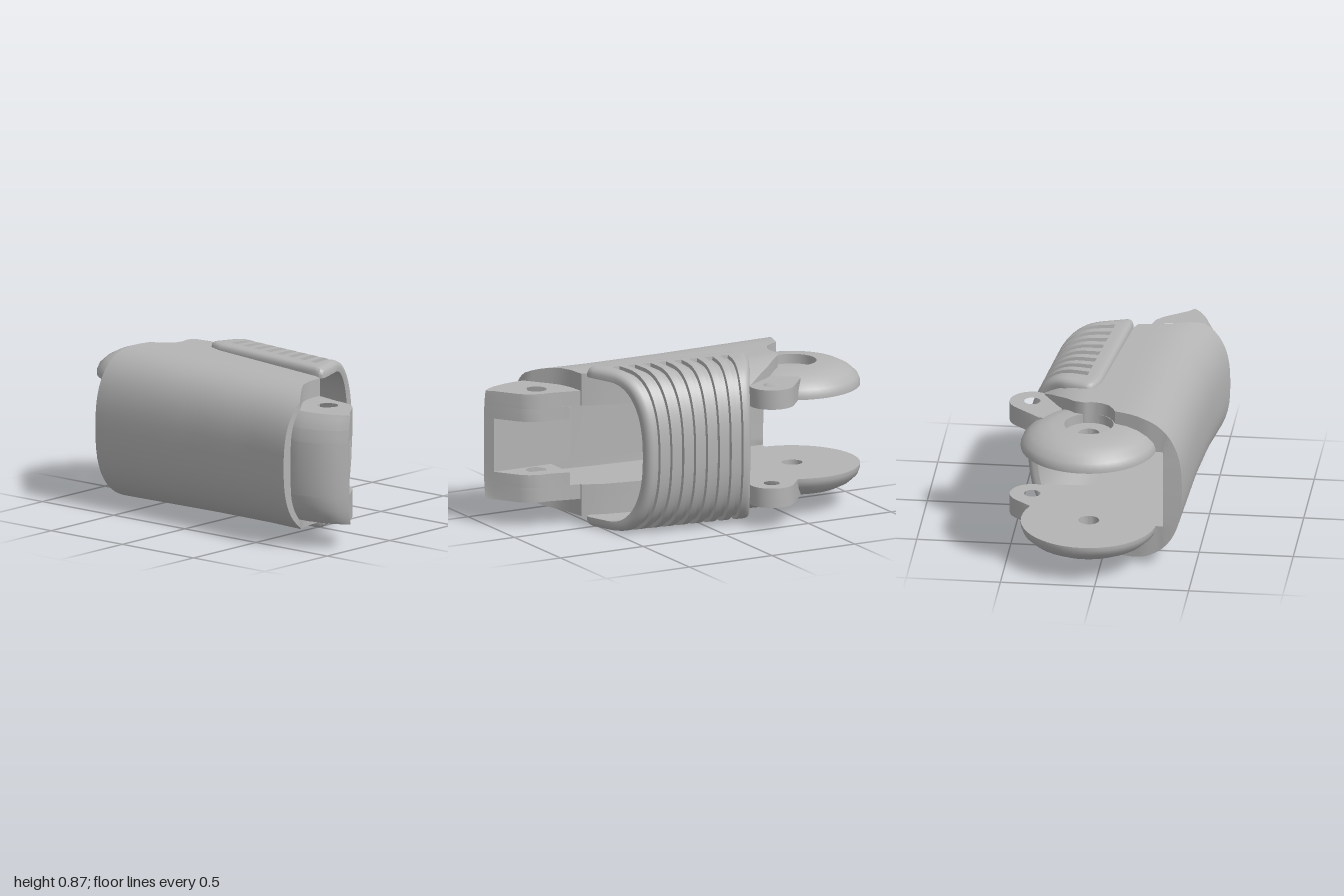
import * as THREE from 'three';
import { toCreasedNormals } from 'three/addons/utils/BufferGeometryUtils.js';

const MID = 0.435; // height of the mirror plane
const lerp = THREE.MathUtils.lerp;

// Linear lookup in a list of [key, value] pairs
function lookup(table, k) {
  for (let i = 1; i < table.length; i++) {
    const [k0, v0] = table[i - 1], [k1, v1] = table[i];
    if (k <= k1) return lerp(v0, v1, THREE.MathUtils.clamp((k - k0) / (k1 - k0), 0, 1));
  }
  return table[table.length - 1][1];
}

// Closed solid from C-shaped loops: first half of a loop is the outside, second half the inside reversed
function loft(rows) {
  const n = rows[0].length, last = rows.length - 1, pos = [], idx = [];
  rows.forEach(r => r.forEach(p => pos.push(...p)));
  const quad = (a, b, c, d) => idx.push(a, b, c, a, c, d);
  for (let j = 0; j < last; j++)
    for (let i = 0; i < n; i++) {
      const k = (i + 1) % n;
      quad(j * n + i, j * n + k, (j + 1) * n + k, (j + 1) * n + i);
    }
  for (let i = 0; i < n / 2 - 1; i++) {
    quad(i + 1, i, n - 1 - i, n - 2 - i);
    const o = last * n;
    quad(o + i, o + i + 1, o + n - 2 - i, o + n - 1 - i);
  }
  // Turn all faces outwards
  let volume = 0;
  const pt = i => new THREE.Vector3().fromArray(pos, i * 3);
  for (let i = 0; i < idx.length; i += 3)
    volume += pt(idx[i]).dot(pt(idx[i + 1]).cross(pt(idx[i + 2])));
  if (volume < 0) idx.reverse();
  const g = new THREE.BufferGeometry();
  g.setAttribute('position', new THREE.Float32BufferAttribute(pos, 3));
  g.setIndex(idx);
  return toCreasedNormals(g, 0.6);
}

// Mirrors a half section (edge to middle) and joins outside and inside to one loop
function cLoop(outer, inner) {
  const flip = half => half.slice(0, -1).reverse().map(([x, y, z]) => [x, 2 * MID - y, z]);
  return [...outer, ...flip(outer), ...[...inner, ...flip(inner)].reverse()];
}

// Slab with a plan outline in x and z, from height y0 to y1
function slab(shape, y0, y1, steps = 1) {
  const g = new THREE.ExtrudeGeometry(shape, { depth: y1 - y0, steps, bevelEnabled: false, curveSegments: 24 });
  return g.rotateX(-Math.PI / 2).translate(0, y0, 0);
}
const plan = pts => new THREE.Shape(pts.map(([x, z]) => new THREE.Vector2(x, -z)));
function drill(shape, x, z, r) {
  shape.holes.push(new THREE.Path().absarc(x, -z, r, 0, Math.PI * 2, true));
  return shape;
}

// Back shell: plan limits and wall position
const backX = [[-0.69, -0.43], [0, -0.455], [0.4, -0.485], [0.72, -0.53]];
const frontEdge = [[0, 0.72], [0.13, 0.72], [0.2, 0.66], [0.27, 0.6], [0.33, 0.575], [0.455, 0.56],
  [0.48, 0.45], [0.53, -0.1], [0.57, -0.2], [0.81, -0.2]];
const rearEdge = [[0, -0.69], [0.2, -0.67], [0.365, -0.62], [0.385, -0.58], [0.41, -0.543], [0.45, -0.519],
  [0.5, -0.51], [0.55, -0.519], [0.6, -0.5], [0.7, -0.385], [0.8, -0.235]];

function shellGeometry() {
  const cols = [0.8, 0.75, 0.7, 0.65, 0.6, 0.57, 0.55, 0.53, 0.5, 0.48, 0.45, 0.41, 0.385, 0.365].map(d => [d, 1]);
  for (let i = 0; i <= 14; i++) {
    const t = Math.PI / 2 * (1 - i / 14), e = 2 / 2.6;
    cols.push([0.35 * (1 - Math.cos(t) ** e), Math.sin(t) ** e]);
  }
  const rows = [];
  for (let j = 0; j <= 16; j++) {
    const outer = [], inner = [];
    for (const [d, f] of cols) {
      const z = lerp(lookup(rearEdge, d), lookup(frontEdge, d), j / 16);
      const x = lookup(backX, z);
      const drop = 0.09 * (Math.max(0, d - 0.55) / 0.26) ** 2;
      const h = (0.4 - 0.02 * z) * f - drop;
      outer.push([x + d, MID + h, z]);
      inner.push([x + Math.max(d, 0.1 + 0.02 * d), MID + Math.min(h, 0.215), z]);
    }
    rows.push(cLoop(outer, inner));
  }
  return loft(rows);
}

// Ribbed grip: C section with rounded rims and eight grooves
function gripGeometry() {
  const cols = [[0, 1], [0.012, 1], [0.035, 1], [0.07, 1], [0.13, 1], [0.195, 1], [0.2, 1], [0.28, 1]];
  for (let i = 0; i <= 18; i++) {
    const t = Math.PI / 2 * (1 - i / 18), e = 2 / 2.4;
    cols.push([0.35 + 0.65 * Math.cos(t) ** e, Math.sin(t) ** e]);
  }
  const rim = [[0, 0.03], [0.012, 0.014], [0.035, 0.004], [0.07, 0]];
  const stations = [[0, 0.03], [0.01, 0.014], [0.03, 0.003], [0.055, 0]].map(([u, pull]) => ({ u, pull, groove: 0, spread: 0 }));
  const ends = stations.map(s => ({ ...s, u: 1 - s.u })).reverse();
  for (let k = 0; k < 8; k++) {
    const a = 0.14 + k * 0.0985;
    for (const [u, groove] of [[a, 0], [a + 0.002, 0.02], [a + 0.048, 0.02], [a + 0.05, 0]])
      stations.push({ u, pull: 0, groove, spread: 0.15 });
  }
  stations.push(...ends);
  const corner = (t, amount) => t >= 1 ? 0 : amount * (1 - Math.sqrt(1 - (1 - t) ** 2));
  const rows = stations.map(({ u, pull, groove, spread }) => {
    const outer = [], inner = [];
    for (const [s0, f] of cols) {
      const c = corner(u / 0.14, 0.2) + corner((1 - u) / 0.07, 0.1);
      const s = s0 + (1 - s0) * c * (1 - s0);
      const v = 0.5 + (u - 0.5) * (1 + spread * s);
      const x = lerp(lerp(0.06, 0.45, s), lerp(-0.045, 0.39, s), v);
      const z = lerp(lerp(-0.37, -0.19, s), lerp(0.565, 0.41, s), v);
      const d = Math.min(0.04, pull + lookup(rim, s0) + (s0 >= 0.2 ? groove : 0));
      const side = Math.max(0, (s0 - 0.35) / 0.65);
      outer.push([x - d * side, MID + (MID - d) * f, z]);
      inner.push([x - 0.055 * side, MID + (MID - 0.055) * f, z]);
    }
    return cLoop(outer, inner);
  });
  return loft(rows);
}

// Narrows the back of the front fork towards its top and bottom
function roundBack(g) {
  const p = g.attributes.position;
  for (let i = 0; i < p.count; i++) {
    const x = p.getX(i), k = 1 - 0.37 * (Math.abs(p.getY(i) - MID) / 0.295) ** 4;
    if (x < -0.28) p.setX(i, -0.28 + (x + 0.28) * k);
  }
  return toCreasedNormals(g, 0.6);
}

export function createModel() {
  const group = new THREE.Group();
  const grey = new THREE.MeshStandardMaterial({ color: 0xb4b4b4 });
  grey.name = 'lightGrey';
  const add = (name, geometry) => {
    const mesh = new THREE.Mesh(geometry, grey);
    mesh.name = name;
    group.add(mesh);
    return mesh;
  };

  add('backShell', shellGeometry());
  add('ribbedGrip', gripGeometry());

  // Front fork: two drilled arms joined by a web at the back
  const tip = [[-0.33, 1], [-0.38, 0.965], [-0.425, 0.915], [-0.455, 0.85], [-0.472, 0.78], [-0.475, 0.72]];
  const nose = [[-0.1, 0.72], [-0.105, 0.78], [-0.125, 0.84], [-0.16, 0.88], [-0.28, 0.965], ...tip];
  const armInner = drill(plan([[-0.075, 0.62], ...nose, [-0.45, 0.62]]), -0.21, 0.75, 0.055);
  const armOuter = drill(plan([[-0.06, 0.53], ...nose, [-0.43, 0.53]]), -0.21, 0.75, 0.055);
  const web = plan([[-0.28, 0.965], ...tip, [-0.42, 0.5], [-0.28, 0.5]]);
  add('forkWeb', roundBack(slab(web, 0.29, 0.58, 4)));
  add('upperForkArm', roundBack(slab(armOuter, 0.65, 0.73, 4)));
  add('upperForkStep', roundBack(slab(armInner, 0.58, 0.65, 2)));
  add('lowerForkArm', roundBack(slab(armOuter, 0.14, 0.22, 4)));
  add('lowerForkStep', roundBack(slab(armInner, 0.22, 0.29, 2)));

  // Rear hinge discs: flat inside, domed outside, with a sunk hub
  const profile = [[0.055, 0.215], [0.36, 0.215], [0.36, 0.235], [0.348, 0.265], [0.31, 0.3], [0.26, 0.325],
    [0.2, 0.338], [0.13, 0.342], [0.13, 0.29], [0.055, 0.29], [0.055, 0.215]];
  const dome = toCreasedNormals(new THREE.LatheGeometry(profile.map(p => new THREE.Vector2(...p)), 48), 0.6);
  for (const [name, turn] of [['upperHingeDisc', 0], ['lowerHingeDisc', Math.PI]]) {
    const disc = add(name, dome);
    disc.position.set(0.07, MID, -0.64);
    disc.rotation.x = turn;
  }

  // Drilled side lugs beside the discs
  const lug = [[0.24, -0.27], [0.24, -0.56], [0.35, -0.535]];
  for (let i = 0; i <= 14; i++) {
    const a = lerp(-0.8, 1.75, i / 14);
    lug.push([0.405 + 0.12 * Math.cos(a), -0.33 + 0.12 * Math.sin(a)]);
  }
  const lugPlan = drill(plan(lug), 0.405, -0.33, 0.043);
  add('upperLug', toCreasedNormals(slab(lugPlan, 0.65, 0.755), 0.6));
  add('lowerLug', toCreasedNormals(slab(lugPlan, 0.115, 0.22), 0.6));

  return group;
}
